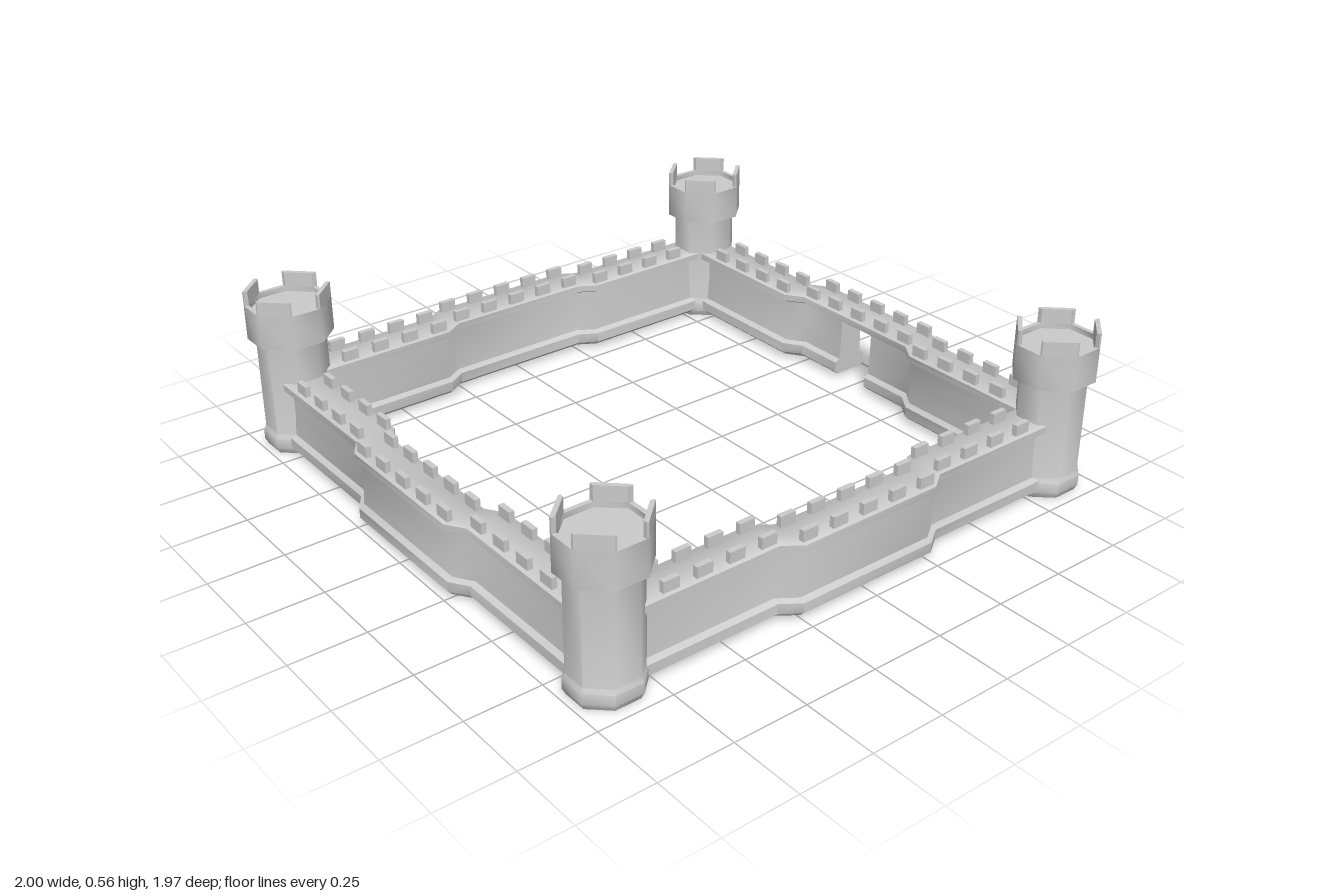
import * as THREE from 'three';
import { toCreasedNormals } from 'three/addons/utils/BufferGeometryUtils.js';

const material = new THREE.MeshStandardMaterial({ color: 0xcccccc, side: THREE.DoubleSide });
const CREASE = 0.82;
const WALL_END = 0.8;

// Half cross-sections of the wall: [half width, height], bottom to top
const BODY = [[0.054, 0.015], [0.068, 0.028], [0.068, 0.062], [0.05, 0.072], [0.046, 0.15], [0.046, 0.235]];
const WALK = [[0.05, 0.225], [0.068, 0.234], [0.068, 0.256], [0.064, 0.259]];

function addMesh(parent, name, geometry) {
  const mesh = new THREE.Mesh(geometry, material);
  mesh.name = name;
  parent.add(mesh);
  return mesh;
}

// How far the wall steps outward at position s along its length
function stepOut(s, depth) {
  return depth * THREE.MathUtils.clamp((0.315 - Math.abs(s)) / 0.06, 0, 1);
}

// Sweeps a mirrored cross-section along x from one end to the other
function sweepWall(half, from, to, depth) {
  const ring = [...half, ...half.slice().reverse().map(([w, y]) => [-w, y])];
  const n = ring.length;
  const stations = [from, ...[-0.315, -0.255, 0.255, 0.315].filter(s => s > from && s < to), to];
  const positions = [];
  const index = [];
  for (const s of stations) {
    for (const [w, y] of ring) positions.push(s, y, w + stepOut(s, depth));
  }
  for (let i = 0; i < stations.length - 1; i++) {
    for (let j = 0; j < n; j++) {
      const a = i * n + j;
      const d = i * n + (j + 1) % n;
      index.push(a, a + n, d + n, a, d + n, d);
    }
  }
  // End caps join each side of the section to its mirror
  const last = (stations.length - 1) * n;
  for (let j = 0; j < n / 2 - 1; j++) {
    const a = j, b = j + 1, c = n - 2 - j, d = n - 1 - j;
    index.push(a, b, c, a, c, d);
    index.push(last + a, last + c, last + b, last + a, last + d, last + c);
  }
  const geometry = new THREE.BufferGeometry();
  geometry.setAttribute('position', new THREE.Float32BufferAttribute(positions, 3));
  geometry.setIndex(index);
  return toCreasedNormals(geometry, CREASE);
}

// One wall running along x, with its outer side toward +z
function createWall(name, depth, bodyRanges) {
  const wall = new THREE.Group();
  wall.name = name;
  for (const [from, to] of bodyRanges) addMesh(wall, 'wallBody', sweepWall(BODY, from, to, depth));
  addMesh(wall, 'wallWalk', sweepWall(WALK, -WALL_END, WALL_END, depth));

  // Two rows of battlements
  const block = new THREE.BoxGeometry(0.055, 0.045, 0.018);
  for (let i = -6; i <= 6; i++) {
    const s = i * 0.1145;
    for (const side of [-1, 1]) {
      addMesh(wall, 'wallMerlon', block).position.set(s, 0.273, side * 0.047 + stepOut(s, depth));
    }
  }
  return wall;
}

function createTower() {
  const tower = new THREE.Group();
  tower.name = 'cornerTower';

  // Eight-sided shaft, overhanging head and sunken floor; radii measured to the flats
  const profile = [
    [0, 0], [0.104, 0], [0.114, 0.02], [0.114, 0.055], [0.106, 0.07], [0.106, 0.384],
    [0.13, 0.392], [0.13, 0.51], [0.115, 0.51], [0.115, 0.492], [0, 0.492],
  ].map(([r, y]) => new THREE.Vector2(r / Math.cos(Math.PI / 8), y));
  const shaft = new THREE.LatheGeometry(profile, 8);
  shaft.rotateY(Math.PI / 8);
  addMesh(tower, 'towerBody', toCreasedNormals(shaft, CREASE));

  // Battlements wrap the four diagonal faces, leaving a notch on each straight face
  const outer = 0.13, inner = 0.115, gap = 0.046;
  const corner = Math.tan(Math.PI / 8);
  const shape = new THREE.Shape([
    [outer, gap], [outer, outer * corner], [outer * corner, outer], [gap, outer],
    [gap, inner], [inner * corner, inner], [inner, inner * corner], [inner, gap],
  ].map(([x, y]) => new THREE.Vector2(x, y)));
  const merlon = new THREE.ExtrudeGeometry(shape, { depth: 0.05, bevelEnabled: false });
  merlon.rotateX(-Math.PI / 2);
  for (let i = 0; i < 4; i++) {
    const mesh = addMesh(tower, 'towerMerlon', merlon);
    mesh.position.y = 0.509;
    mesh.rotation.y = i * Math.PI / 2;
  }
  return tower;
}

export function createModel() {
  const model = new THREE.Group();
  model.name = 'castleWalls';

  // Four corner towers
  for (const x of [-1, 1]) {
    for (const z of [-1, 1]) {
      const tower = createTower();
      tower.position.set(x * 0.87, 0, z * 0.861);
      tower.scale.z = 0.94;
      model.add(tower);
    }
  }

  // Four walls; the one on the +x side has a gateway under its walk
  const whole = [[-WALL_END, WALL_END]];
  const gated = [[-WALL_END, -0.068], [0.078, WALL_END]];
  const walls = [
    ['frontWall', 0, 0.855, 0.042, whole],
    ['gateWall', 1, 0.867, 0.042, gated],
    ['backWall', 2, 0.865, 0.036, whole],
    ['rightWall', 3, 0.88, 0.04, whole],
  ];
  for (const [name, turn, distance, depth, ranges] of walls) {
    const wall = createWall(name, depth, ranges);
    const angle = turn * Math.PI / 2;
    wall.rotation.y = angle;
    wall.position.set(Math.sin(angle) * distance, 0, Math.cos(angle) * distance);
    model.add(wall);
  }
  return model;
}
